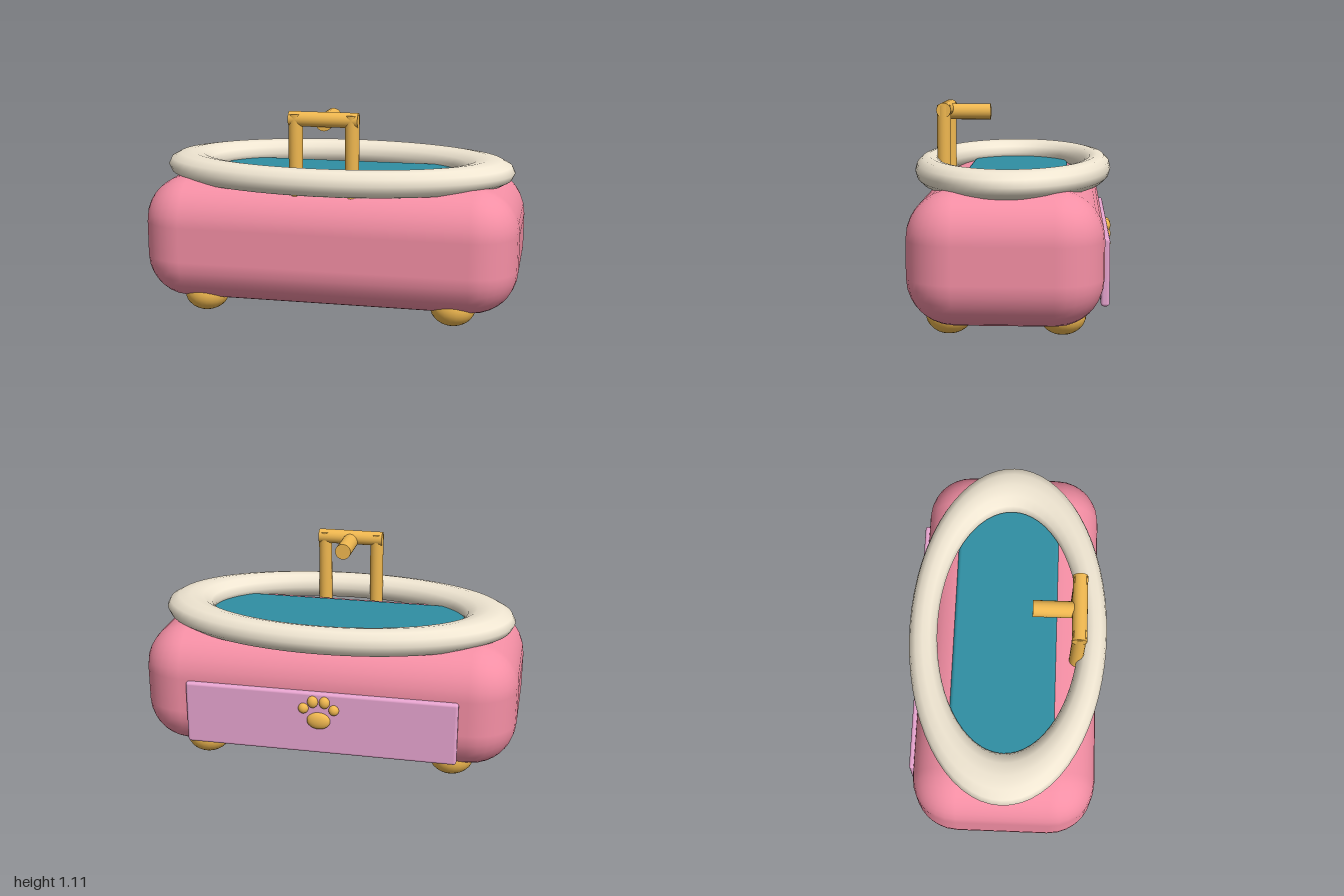
import * as THREE from 'three';
import { RoundedBoxGeometry } from 'three/addons/geometries/RoundedBoxGeometry.js';

export function createModel() {
  const model = new THREE.Group();
  const material = (color) => new THREE.MeshStandardMaterial({ color });
  const pink = material(0xf58fa5);
  const cream = material(0xf0e6d2);
  const teal = material(0x2f8fa3);
  const gold = material(0xf0b850);
  const lilac = material(0xe8a5d0);

  const add = (name, geometry, mat, x, y, z, parent = model) => {
    const mesh = new THREE.Mesh(geometry, mat);
    mesh.name = name;
    mesh.position.set(x, y, z);
    parent.add(mesh);
    return mesh;
  };
  const ellipsoid = (rx, ry, rz) => new THREE.SphereGeometry(1, 24, 16).scale(rx, ry, rz);

  // Tub body with broad rounded edges
  add('tubBody', new RoundedBoxGeometry(2, 0.665, 0.965, 4, 0.24), pink, 0, 0.4, 0.004);

  // Oval rim: a ring squashed in depth and height
  const rim = new THREE.TorusGeometry(0.82, 0.135, 12, 64).rotateX(Math.PI / 2).scale(1, 0.54, 0.55);
  add('rim', rim, cream, 0, 0.763, 0);

  // Water slab just above the tub top
  add('water', new RoundedBoxGeometry(1.5, 0.1, 0.55, 3, 0.02), teal, 0, 0.693, -0.015);

  // Four round feet
  for (const x of [-0.67, 0.67])
    for (const z of [-0.275, 0.285])
      add('foot', ellipsoid(0.12, 0.1, 0.118), gold, x, 0.1, z);

  // Faucet: two posts, a crossbar and a spout pointing over the water
  const faucet = new THREE.Group();
  faucet.name = 'faucet';
  model.add(faucet);
  for (const x of [-0.147, 0.147])
    add('faucetPost', new THREE.CylinderGeometry(0.037, 0.037, 0.48, 20), gold, x, 0.86, 0.365, faucet);
  add('faucetBar', new THREE.CylinderGeometry(0.039, 0.039, 0.36, 20).rotateZ(Math.PI / 2),
    gold, 0, 1.074, 0.363, faucet);
  add('faucetSpout', new THREE.CylinderGeometry(0.043, 0.043, 0.24, 20).rotateX(Math.PI / 2),
    gold, 0, 1.057, 0.245, faucet);

  // Back panel
  add('backPanel', new RoundedBoxGeometry(1.43, 0.34, 0.043, 3, 0.015), lilac, 0, 0.32, -0.483);

  // Paw ornament: one pad and four toes
  const paw = new THREE.Group();
  paw.name = 'pawOrnament';
  model.add(paw);
  add('pawPad', ellipsoid(0.062, 0.046, 0.025), gold, 0, 0.338, -0.507, paw);
  for (const side of [-1, 1]) {
    add('outerToe', ellipsoid(0.027, 0.028, 0.024), gold, side * 0.08, 0.403, -0.506, paw);
    add('innerToe', ellipsoid(0.028, 0.032, 0.024), gold, side * 0.031, 0.442, -0.506, paw);
  }

  return model;
}
